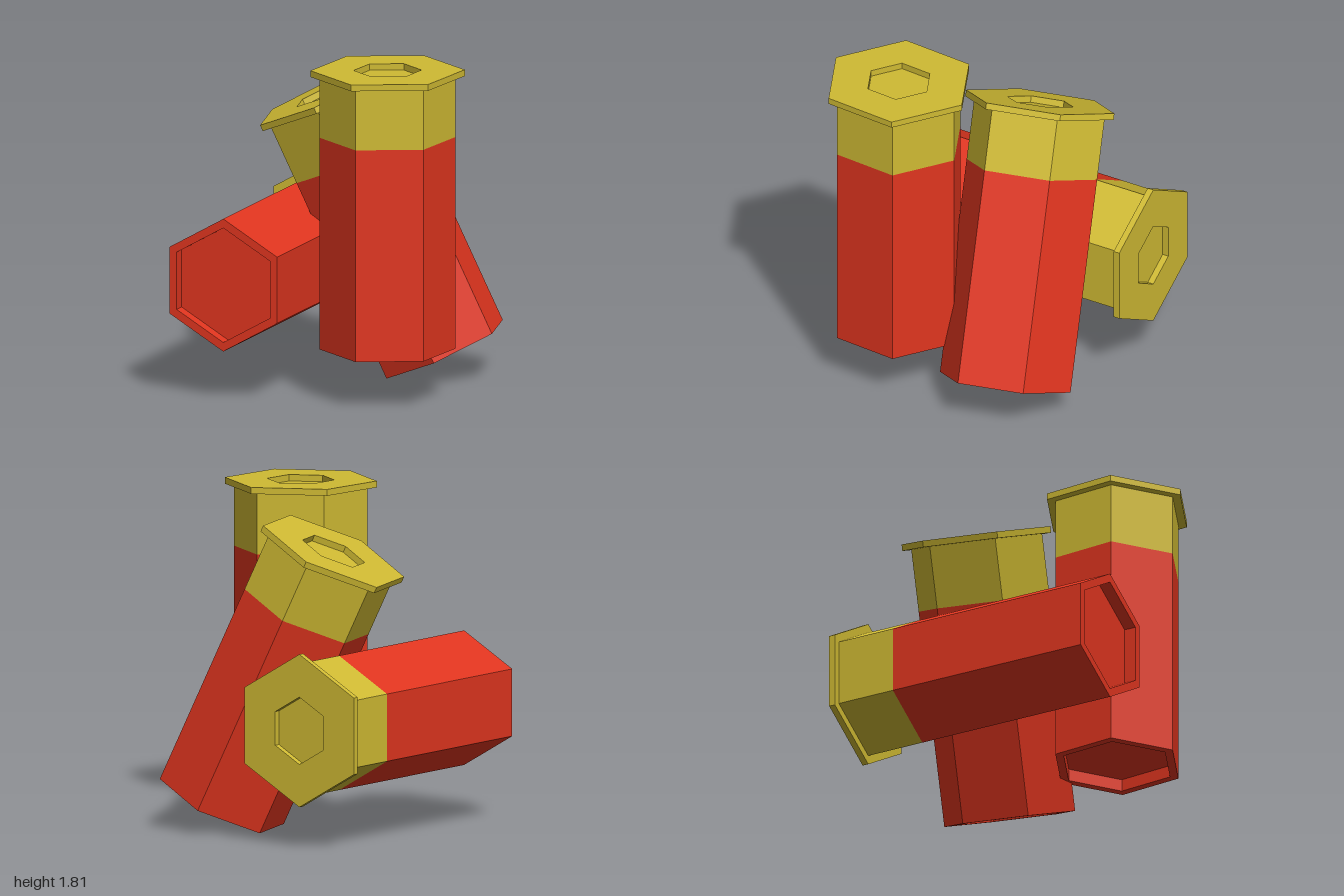
import * as THREE from 'three';

const RED = new THREE.MeshStandardMaterial({ color: 0xe0351f, flatShading: true });
const BRASS = new THREE.MeshStandardMaterial({ color: 0xcfba33, flatShading: true });

// Six-sided solid turned from a [radius, height] profile
function hexLathe(name, profile, material) {
  const points = profile.map(([r, y]) => new THREE.Vector2(r, y));
  const mesh = new THREE.Mesh(new THREE.LatheGeometry(points, 6), material);
  mesh.name = name;
  return mesh;
}

// One cartridge: base is the centre of its open end, axis points to the cap,
// corner points from the axis to one corner of the hexagon
function cartridge(name, base, axis, corner) {
  const group = new THREE.Group();
  group.name = name;

  // Red casing with a shallow recess in the open end
  group.add(hexLathe('casing', [
    [0, 0.067], [0.315, 0.067], [0.315, 0], [0.365, 0], [0.365, 1.165],
  ], RED));

  // Brass cap with a rim and a hexagonal dimple
  group.add(hexLathe('cap', [
    [0.365, 1.165], [0.365, 1.5], [0.415, 1.5], [0.415, 1.535],
    [0.183, 1.535], [0.183, 1.5], [0, 1.5],
  ], BRASS));

  const y = new THREE.Vector3(...axis).normalize();
  const x = new THREE.Vector3().crossVectors(y, new THREE.Vector3(...corner)).normalize();
  const z = new THREE.Vector3().crossVectors(x, y);
  group.quaternion.setFromRotationMatrix(new THREE.Matrix4().makeBasis(x, y, z));
  group.position.set(...base);
  return group;
}

export function createModel() {
  const model = new THREE.Group();
  model.name = 'cartridges';
  model.add(
    cartridge('uprightCartridge', [0.02, 0.275, 0.58], [0, 1, 0], [0, 0, 1]),
    cartridge('leaningCartridge', [0.603, 0.1375, 0.218], [-0.315, 0.907, -0.279], [0.922, 0.362, 0.133]),
    cartridge('lyingCartridge', [-0.765, 0.64, 0.17], [0.82, 0, -0.57], [0, 1, 0]),
  );
  return model;
}
